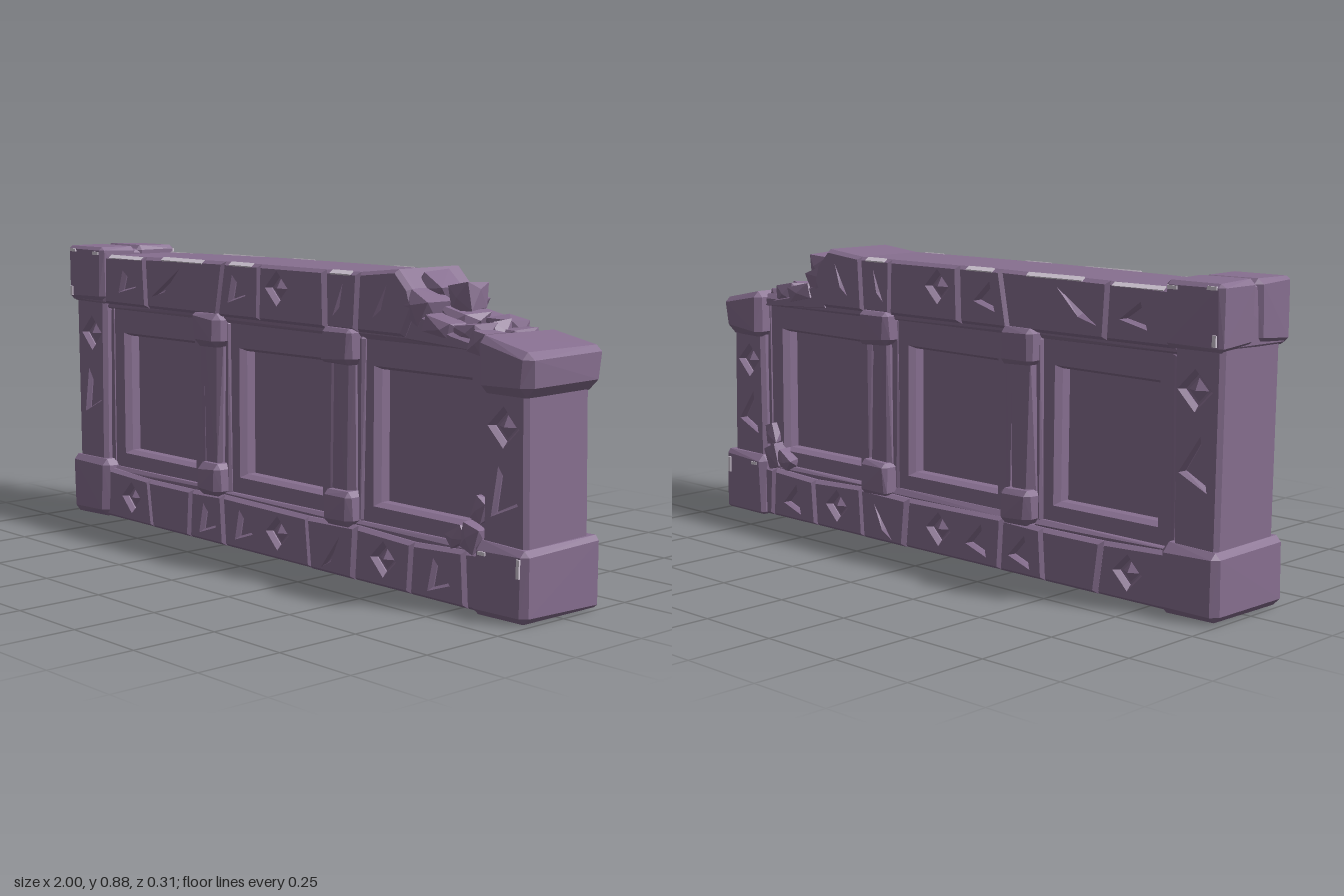
import * as THREE from 'three';
import { ConvexGeometry } from 'three/addons/geometries/ConvexGeometry.js';

export function createModel() {
  const wall = new THREE.Group();
  wall.name = 'ruinedStoneWall';
  const stoneMat = new THREE.MeshStandardMaterial({ color: 0x876f90 });
  stoneMat.name = 'purple stone';
  const wornMat = new THREE.MeshStandardMaterial({ color: 0xd6ccda });
  wornMat.name = 'pale worn edge';

  let seed = 11;
  const rnd = () => (seed = (seed * 16807) % 2147483647) / 2147483647;
  const jit = (a) => (rnd() * 2 - 1) * a;

  function add(name, geo, mat = stoneMat) {
    const mesh = new THREE.Mesh(geo, mat);
    mesh.name = name;
    wall.add(mesh);
  }

  // Hewn block: every corner cut off by a chamfer, slightly irregular
  function block(name, x0, x1, y0, y1, z0, z1, c = 0.02, j = 0.006, slope = 0) {
    const pts = [];
    for (const sx of [0, 1]) for (const sy of [0, 1]) for (const sz of [0, 1]) {
      const cut = c * (0.6 + rnd() * 0.8);
      for (let k = 0; k < 3; k++) {
        const d = [cut, cut, cut];
        d[k] = rnd() * j;
        pts.push(new THREE.Vector3(
          sx ? x1 - d[0] : x0 + d[0],
          sy ? y1 - d[1] - (sx ? slope : 0) : y0 + d[1],
          sz ? z1 - d[2] : z0 + d[2]));
      }
    }
    add(name, new ConvexGeometry(pts));
  }

  // Irregular broken lump with half sizes rx, ry, rz, tipped by an angle
  function rubble(x, y, z, rx, ry, rz, tip = 0) {
    const pts = [];
    for (const sx of [-1, 1]) for (const sy of [-1, 1]) for (const sz of [-1, 1]) {
      const k = 0.62 + rnd() * 0.3;
      pts.push(new THREE.Vector3(sx * rx * k, sy * ry * (0.65 + rnd() * 0.3), sz * rz * k));
    }
    pts.push(new THREE.Vector3(rx, jit(ry * 0.4), 0), new THREE.Vector3(-rx, jit(ry * 0.4), 0),
      new THREE.Vector3(jit(rx * 0.4), 0, rz), new THREE.Vector3(jit(rx * 0.4), 0, -rz));
    add('rubble', new ConvexGeometry(pts).rotateZ(tip).translate(x, y, z));
  }

  // Carving outlines
  const diamond = (x, y, r = 0.037) => ({ x, y, r, gem: true, p: [[x - r, y], [x, y - r], [x + r, y], [x, y + r]] });
  const triangle = (x, y, w = 0.03, h = 0.035) => ({ p: [[x - w, y - h], [x + w, y - h * 0.4], [x - w * 0.5, y + h]] });
  const slash = (x, y, w = 0.045, h = 0.04) => ({ p: [[x - w, y - h], [x - w * 0.2, y - h * 0.5], [x + w, y + h]] });

  const toVec = (p) => p.map(([x, y]) => new THREE.Vector2(x, y));

  // Dressed stone: solid core with a bevelled, engraved skin on front and back
  function stone(name, outline, depth, carvings = []) {
    const shape = new THREE.Shape(toVec(outline));
    const floor = depth - 0.018;
    const core = new THREE.ExtrudeGeometry(shape, { depth: floor * 2, bevelEnabled: false });
    add(name + 'Core', core.translate(0, 0, -floor));
    const face = new THREE.Shape(toVec(outline));
    face.holes = carvings.map((c) => new THREE.Path(toVec(c.p)));
    for (const s of [1, -1]) {
      const skin = new THREE.ExtrudeGeometry(face, {
        depth: 0.012, bevelSegments: 1, bevelThickness: 0.014, bevelSize: 0.01, bevelOffset: -0.01,
      });
      skin.translate(0, 0, s > 0 ? depth - 0.026 : -depth + 0.014);
      add(name + 'Face', skin);
      for (const c of carvings) {
        if (!c.gem) continue;
        const q = c.r * 0.85;
        add('diamondCarving', new ConvexGeometry([
          [-q, 0, 0], [q, 0, 0], [0, -q, 0], [0, q, 0], [0, 0, 0.018],
        ].map(([a, b, d]) => new THREE.Vector3(c.x + a, c.y + b, s * (floor - 0.002 + d)))));
      }
    }
  }

  // Run of stones between slanted joints [bottom x, top x, top y]
  function course(name, y0, joints, depth, carvings) {
    for (let i = 0; i < joints.length - 1; i++) {
      const [a, at, ay] = joints[i], [b, bt, by] = joints[i + 1];
      const mine = carvings.filter((c) => {
        const xs = c.p.map((p) => p[0]);
        return Math.min(...xs) > Math.max(a, at) + 0.012 && Math.max(...xs) < Math.min(b, bt) - 0.012;
      });
      stone(name, [[a, y0], [b, y0], [bt, by], [at, ay]], depth + jit(0.003), mine);
    }
  }

  // Bottom course
  course('baseCourse', 0.005, [
    [-0.83, -0.83, 0.165], [-0.58, -0.6, 0.155], [-0.39, -0.38, 0.155], [-0.22, -0.23, 0.16],
    [0.17, 0.155, 0.155], [0.35, 0.36, 0.16], [0.57, 0.58, 0.15], [0.78, 0.77, 0.16], [0.84, 0.84, 0.165],
  ], 0.134, [
    diamond(-0.69, 0.085), triangle(-0.3, 0.075), triangle(-0.13, 0.08), diamond(0.025, 0.085),
    slash(0.26, 0.07, 0.03, 0.04), diamond(0.47, 0.085), triangle(0.68, 0.075),
  ]);

  // Top course, ending in a broken slope
  course('topCourse', 0.7, [
    [-0.83, -0.83, 0.855], [-0.6, -0.61, 0.86], [-0.25, -0.22, 0.865], [-0.06, -0.055, 0.865],
    [0.23, 0.225, 0.865], [0.35, 0.36, 0.865],
  ], 0.131, [
    triangle(-0.7, 0.775, 0.035, 0.025), slash(-0.5, 0.785, 0.06, 0.04),
    triangle(-0.16, 0.785, 0.03, 0.03), diamond(0.025, 0.8), slash(0.28, 0.785, 0.015, 0.035),
  ]);
  stone('brokenTopStone', [[0.35, 0.7], [0.53, 0.7], [0.57, 0.78], [0.555, 0.83], [0.505, 0.88], [0.36, 0.865]],
    0.128, [slash(0.445, 0.79, 0.02, 0.035)]);
  stone('brokenLedge', [[0.52, 0.69], [0.84, 0.68], [0.78, 0.71], [0.7, 0.725], [0.64, 0.75], [0.56, 0.775]], 0.116);

  // Panelled middle with three recessed openings
  const panel = new THREE.Shape(toVec([[-0.85, 0.14], [0.85, 0.14], [0.85, 0.69], [0.76, 0.715], [-0.85, 0.715]]));
  for (const x of [-0.58, 0, 0.578]) {
    panel.holes.push(new THREE.Path(toVec([
      [x - 0.179, 0.223], [x + 0.179, 0.223], [x + 0.176, 0.606], [x - 0.179, 0.603]])));
  }
  add('panelFrame', new THREE.ExtrudeGeometry(panel, {
    depth: 0.15, bevelSegments: 1, bevelThickness: 0.022, bevelSize: 0.01, bevelOffset: -0.006,
  }).translate(0, 0, -0.075));
  add('recessedPanels', new THREE.BoxGeometry(1.6, 0.5, 0.09).translate(0, 0.42, 0));

  // Thin ledges above and below the panels, and uneven raised stiles
  for (const [x0, x1] of [[-0.84, -0.33], [-0.25, 0.25], [0.33, 0.84]]) {
    block('upperLedge', x0, x1, 0.68, 0.72, -0.115, 0.115, 0.012);
    block('lowerLedge', x0, x1, 0.14, 0.175, -0.118, 0.118, 0.012);
    block('leftStile', x0, x0 + 0.035, 0.16, 0.69, -0.11, 0.11, 0.012, 0.01);
    block('rightStile', x1 - 0.035, x1, 0.16, 0.69, -0.11, 0.11, 0.012, 0.01);
  }

  // Intermediate pilasters with cap and foot
  for (const x of [-0.29, 0.288]) {
    block('pilasterShaft', x - 0.05, x + 0.045, 0.2, 0.65, -0.127, 0.127, 0.018, 0.012);
    block('pilasterCap', x - 0.064, x + 0.062, 0.605, 0.712, -0.153, 0.153, 0.018, 0.005);
    block('pilasterFoot', x - 0.058, x + 0.062, 0.15, 0.255, -0.153, 0.153, 0.018, 0.005);
  }

  // Left end post
  stone('leftPost', [[-0.978, 0.17], [-0.835, 0.17], [-0.83, 0.72], [-0.985, 0.72]], 0.127,
    [diamond(-0.9, 0.6, 0.042), triangle(-0.9, 0.41, 0.035, 0.06)]);
  block('leftPostBase', -1, -0.8, 0, 0.195, -0.153, 0.153, 0.02);
  block('leftPostCapCore', -0.992, -0.815, 0.7, 0.874, -0.14, 0.14, 0.012);
  block('leftPostCapFront', -1, -0.808, 0.705, 0.886, 0.002, 0.153, 0.02);
  block('leftPostCapBack', -0.998, -0.81, 0.703, 0.884, -0.153, 0.002, 0.018);

  // Right end post with weathered cap
  stone('rightPost', [[0.825, 0.17], [0.978, 0.17], [0.97, 0.6], [0.83, 0.6]], 0.125,
    [diamond(0.895, 0.5, 0.04), triangle(0.9, 0.33, 0.035, 0.055)]);
  block('rightPostBase', 0.805, 1, 0, 0.2, -0.153, 0.153, 0.02);
  block('rightPostCap', 0.815, 1, 0.58, 0.732, -0.153, 0.153, 0.026, 0.006, 0.028);

  // Rubble on the broken end: x, y, z, half sizes, tip angle
  for (const lump of [
    [0.655, 0.81, 0, 0.045, 0.045, 0.045, 0.2], [0.64, 0.75, 0.005, 0.06, 0.035, 0.06, -0.2],
    [0.56, 0.79, 0.075, 0.06, 0.045, 0.055, -0.5], [0.565, 0.785, -0.065, 0.06, 0.04, 0.06, -0.4],
    [0.545, 0.815, 0.005, 0.05, 0.05, 0.06, -0.6], [0.65, 0.735, 0.085, 0.06, 0.03, 0.045, -0.2],
    [0.65, 0.735, -0.08, 0.06, 0.03, 0.05, -0.25], [0.73, 0.725, 0.06, 0.05, 0.03, 0.05, 0.1],
    [0.735, 0.725, -0.07, 0.05, 0.035, 0.05, -0.1], [0.745, 0.72, 0, 0.045, 0.035, 0.04, 0.3],
    [0.79, 0.705, 0.08, 0.035, 0.035, 0.05, -0.2], [0.795, 0.71, -0.04, 0.035, 0.03, 0.06, 0.1],
  ]) rubble(...lump);

  for (const s of [1, -1]) {
    // Chips lodged beside the right post base
    rubble(0.735, 0.19, s * 0.105, 0.04, 0.03, 0.03, 0.5);
    rubble(0.785, 0.195, s * 0.105, 0.035, 0.045, 0.035, -0.3);
    rubble(0.805, 0.27, s * 0.1, 0.025, 0.04, 0.025, -0.3);

    // Pale wear along the top edge: centre x, length, height
    for (const [x, len, y] of [[-0.71, 0.17, 0.857], [-0.42, 0.2, 0.863], [-0.14, 0.1, 0.865], [0.29, 0.08, 0.865]]) {
      add('wornTopEdge', new THREE.BoxGeometry(len, 0.016, 0.005).rotateX(-s * 0.95).translate(x, y - 0.005, s * 0.124), wornMat);
    }
    // Pale chips on post caps and bases: x, y, width, height
    for (const [x, y, w, h] of [
      [-0.965, 0.868, 0.03, 0.01], [-0.84, 0.862, 0.03, 0.01], [-0.975, 0.735, 0.012, 0.03],
      [0.85, 0.17, 0.025, 0.01], [0.975, 0.15, 0.01, 0.05],
    ]) {
      add('wornChip', new THREE.BoxGeometry(w, h, 0.006).translate(x, y, s * 0.1505), wornMat);
    }
  }
  return wall;
}
